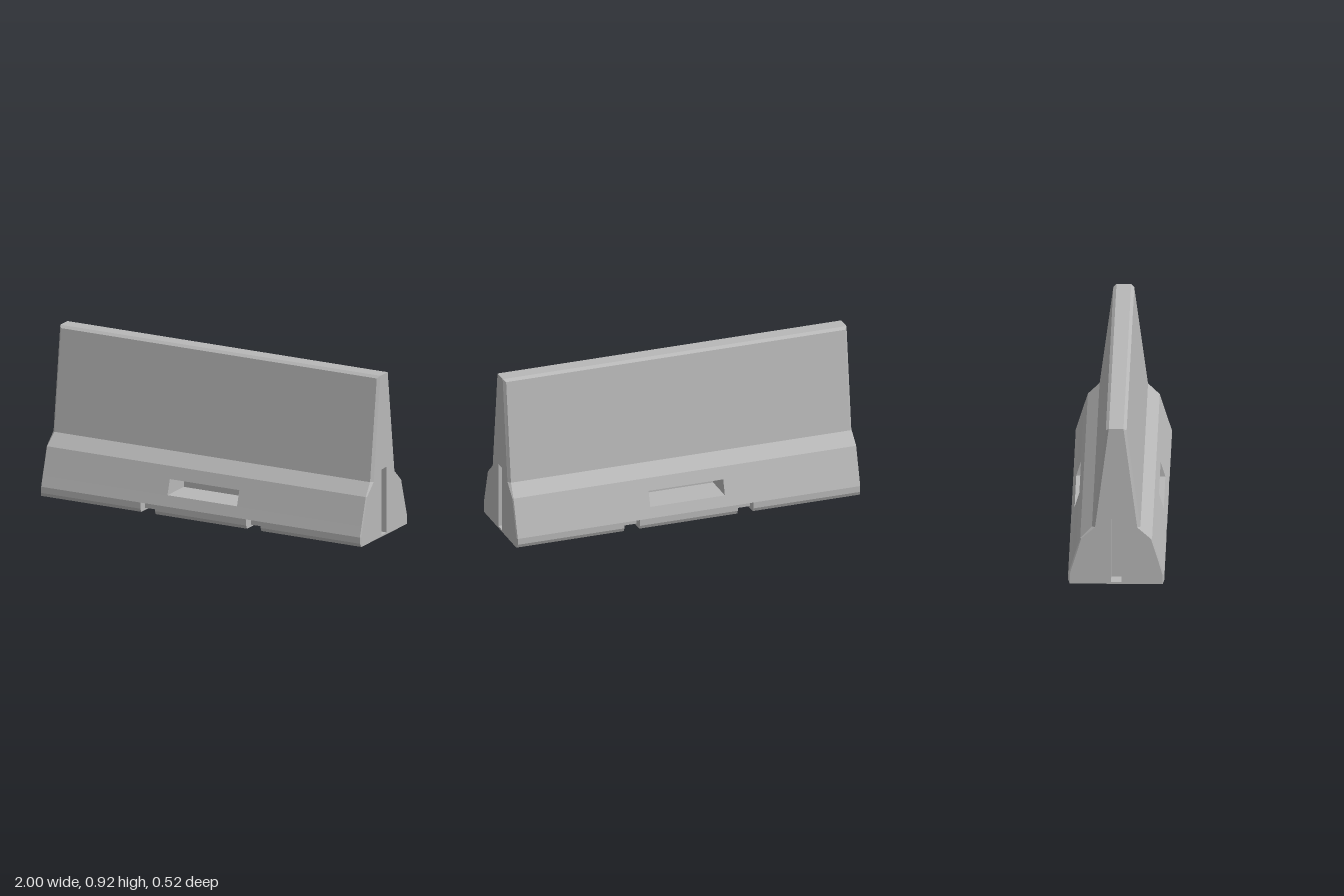
import * as THREE from 'three';

// Half profile from base centre, round the front, to top centre:
// [height, z, half length, z of the matching end-cap corner]
const PROFILE = [
  [0, 0, 1, 0],
  [0, 0.04, 1, 0.04],
  [0, 0.253, 1, 0.253],
  [0.02, 0.262, 0.995, 0.253],
  [0.055, 0.262, 0.995, 0.253],
  [0.115, 0.243, 0.995, 0.236],
  [0.2, 0.217, 0.995, 0.21],
  [0.268, 0.196, 0.995, 0.19],
  [0.335, 0.132, 0.986, 0.115],
  [0.905, 0.057, 0.986, 0.042],
  [0.918, 0.04, 1, 0.04],
  [0.918, 0, 1, 0],
];
const NOTCHES = [[-0.375, -0.285], [0.285, 0.375]];
const POCKET = [[-0.217, 0.217]];
const GAPS = { 1: NOTCHES, 2: NOTCHES, 3: NOTCHES, 5: POCKET };

// Collects flat quads (corners counter-clockwise from outside)
class Quads {
  constructor() { this.pos = []; }
  add(a, b, c, d) {
    this.pos.push(...a, ...b, ...c, ...a, ...c, ...d);
  }
  // Recess: four walls and a back
  cavity(front, back) {
    for (let i = 0; i < 4; i++) {
      const j = (i + 1) % 4;
      this.add(front[i], front[j], back[j], back[i]);
    }
    this.add(...back);
  }
  mesh(name, material) {
    const g = new THREE.BufferGeometry();
    g.setAttribute('position', new THREE.Float32BufferAttribute(this.pos, 3));
    g.computeVertexNormals();
    const m = new THREE.Mesh(g, material);
    m.name = name;
    return m;
  }
}

// Long faces and the chamfers at both ends
function wallFaces(material) {
  const q = new Quads();
  for (let i = 0; i < PROFILE.length - 1; i++) {
    const [ya, za, xa, ca] = PROFILE[i];
    const [yb, zb, xb, cb] = PROFILE[i + 1];
    const cuts = [null, ...(GAPS[i] || []).flat(), null];
    for (let k = 0; k < cuts.length; k += 2) {
      const l = cuts[k], r = cuts[k + 1];
      q.add([l ?? -xa, ya, za], [r ?? xa, ya, za], [r ?? xb, yb, zb], [l ?? -xb, yb, zb]);
    }
    q.add([xa, ya, za], [1, ya, ca], [1, yb, cb], [xb, yb, zb]);
    q.add([-1, ya, ca], [-xa, ya, za], [-xb, yb, zb], [-1, yb, cb]);
  }
  return q.mesh('wallFaces', material);
}

// Deep lifting pocket in the lower slope
function liftingPocket(material) {
  const q = new Quads();
  const [l, r] = POCKET[0];
  const [[y0, z0], [y1, z1]] = [PROFILE[5], PROFILE[6]];
  const ring = (za, zb) => [[l, y0, za], [r, y0, za], [r, y1, zb], [l, y1, zb]];
  q.cavity(ring(z0, z1), ring(0.06, 0.06));
  return q.mesh('liftingPocket', material);
}

// Stepped drainage notch under the base
function drainNotch([l, r], material) {
  const q = new Quads();
  const steps = [[0, 0.04], [0.012, 0.04], [0.012, 0.21], [0.055, 0.21], [0.055, 0.262]];
  for (let i = 0; i < steps.length - 1; i++) {
    const [a, b] = [steps[i], steps[i + 1]];
    q.add([l, ...a], [r, ...a], [r, ...b], [l, ...b]);
  }
  const sides = [
    [[0, 0.04], [0.012, 0.04], [0.012, 0.21], [0, 0.21]],
    [[0, 0.21], [0.02, 0.21], [0.02, 0.262], [0, 0.253]],
    [[0.02, 0.21], [0.055, 0.21], [0.055, 0.262], [0.02, 0.262]],
  ];
  for (const s of sides) {
    q.add(...s.map((p) => [l, ...p]));
    q.add(...s.map((p) => [r, ...p]).reverse());
  }
  return q.mesh('drainNotch', material);
}

// End face with its joint slot
function endFace(material) {
  const half = PROFILE.slice(2, -1).map(([y, , , c]) => new THREE.Vector2(c, y));
  const mirror = half.map((p) => new THREE.Vector2(-p.x, p.y)).reverse();
  const shape = new THREE.Shape([...half, ...mirror]);
  const w = 0.028, y0 = 0.01, y1 = 0.383;
  shape.holes.push(new THREE.Path([[-w, y0], [-w, y1], [w, y1], [w, y0]].map((p) => new THREE.Vector2(...p))));
  const face = new THREE.Mesh(new THREE.ShapeGeometry(shape).rotateY(Math.PI / 2).translate(1, 0, 0), material);
  face.name = 'endFace';

  const q = new Quads();
  const ring = (x) => [[x, y0, w], [x, y0, -w], [x, y1, -w], [x, y1, w]];
  q.cavity(ring(1), ring(0.92));
  return [face, q.mesh('jointSlot', material)];
}

export function createModel() {
  const concrete = new THREE.MeshStandardMaterial({ color: 0xb8b8b8 });
  concrete.name = 'concrete grey';

  const barrier = new THREE.Group();
  barrier.name = 'roadBarrier';
  // Each half is the other turned half way round
  for (const [name, turn] of [['frontHalf', 0], ['backHalf', Math.PI]]) {
    const half = new THREE.Group();
    half.name = name;
    half.add(wallFaces(concrete), liftingPocket(concrete), ...endFace(concrete));
    for (const n of NOTCHES) half.add(drainNotch(n, concrete));
    half.rotation.y = turn;
    barrier.add(half);
  }
  return barrier;
}
